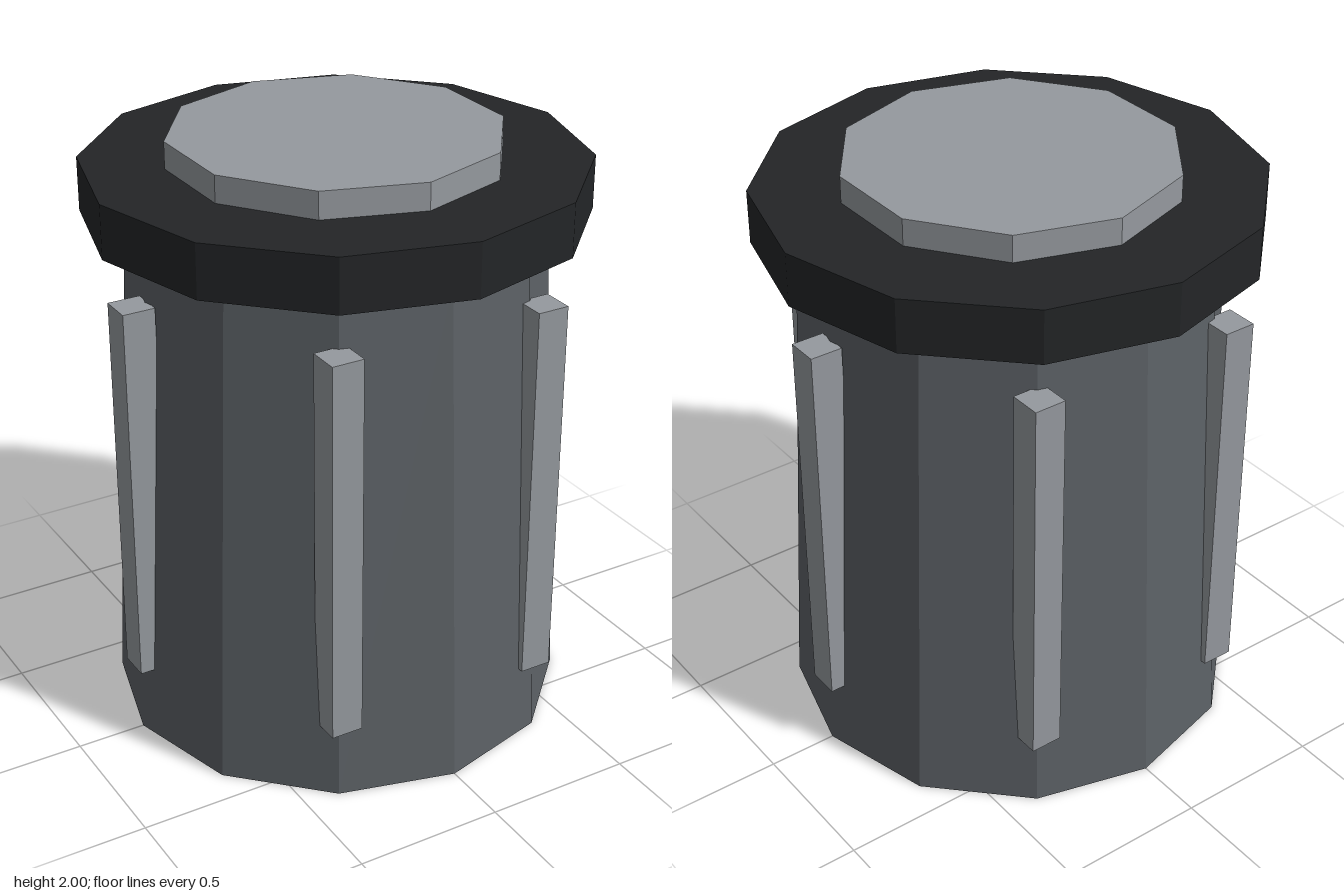
import * as THREE from 'three';

const mat = (color) => new THREE.MeshStandardMaterial({ color, flatShading: true });

export function createModel() {
  const group = new THREE.Group();
  const bodyMat = mat(0x5c6166), lidMat = mat(0x232527), lightMat = mat(0x95999e);

  // Faceted drum standing between heights y0 and y1
  function drum(name, rTop, rBottom, y0, y1, sides, material) {
    const mesh = new THREE.Mesh(new THREE.CylinderGeometry(rTop, rBottom, y1 - y0, sides), material);
    mesh.name = name;
    mesh.position.y = (y0 + y1) / 2;
    group.add(mesh);
  }

  drum('body', 0.677, 0.765, 0, 1.73, 12, bodyMat);
  drum('lid', 0.82, 0.82, 1.73, 1.91, 12, lidMat);
  drum('cap', 0.546, 0.546, 1.91, 2, 10, lightMat);

  // Six upright ribs around the body, all square to the axes
  const ribGeometry = new THREE.BoxGeometry(0.109, 1.31, 0.109);
  for (let i = 0; i < 6; i++) {
    const a = (i * Math.PI) / 3;
    const rib = new THREE.Mesh(ribGeometry, lightMat);
    rib.name = `rib${i + 1}`;
    rib.position.set(0.732 * Math.cos(a), 0.905, 0.732 * Math.sin(a));
    group.add(rib);
  }
  return group;
}
